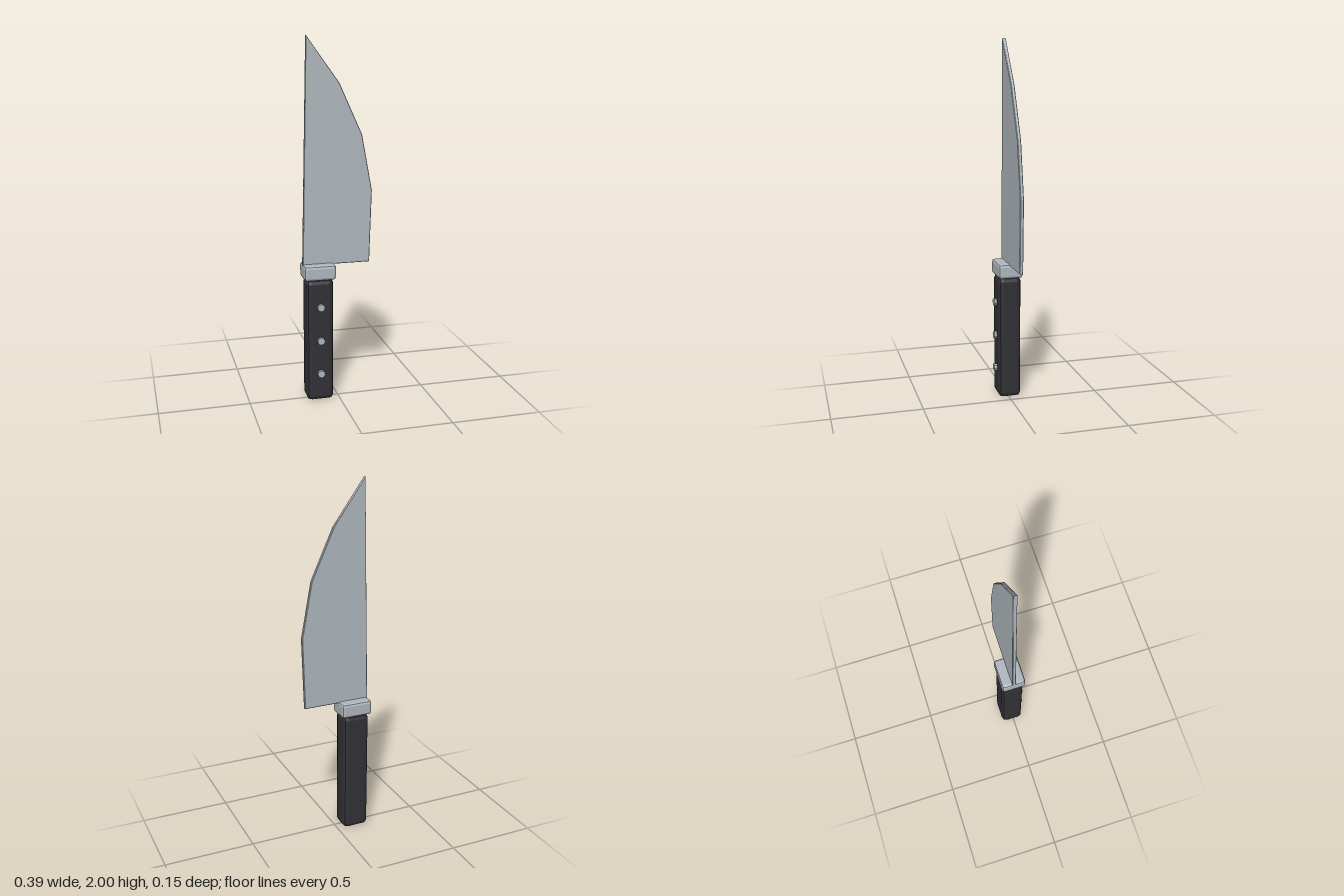
import * as THREE from 'three';

const material = (name, color) => {
  const m = new THREE.MeshStandardMaterial({ color });
  m.name = name;
  return m;
};

// Upright box with softly faceted edges, standing on y = 0
function bevelledBox(w, h, d, r) {
  const x = w / 2 - r, z = d / 2 - r;
  const s = new THREE.Shape();
  [[x, z, 0], [-x, z, 1], [-x, -z, 2], [x, -z, 3]].forEach(([cx, cz, q]) => {
    for (let i = 0; i <= 2; i++) {
      const a = (q + i / 2) * Math.PI / 2;
      const px = cx + r * Math.cos(a), pz = cz + r * Math.sin(a);
      if (q === 0 && i === 0) s.moveTo(px, pz); else s.lineTo(px, pz);
    }
  });
  s.closePath();
  const b = r * 0.98;
  const g = new THREE.ExtrudeGeometry(s, {
    depth: h - 2 * b, bevelEnabled: true, bevelThickness: b, bevelSize: b, bevelOffset: -b, bevelSegments: 2,
  });
  return g.translate(0, 0, b).rotateX(-Math.PI / 2);
}

export function createModel() {
  const group = new THREE.Group();
  const steel = material('steel', 0xb0b9bf);
  const black = material('black handle', 0x323137);
  const cx = -0.108, cz = -0.006;

  const add = (name, geometry, mat, x, y, z) => {
    const mesh = new THREE.Mesh(geometry, mat);
    mesh.name = name;
    mesh.position.set(x, y, z);
    group.add(mesh);
  };

  // Blade: straight spine, faceted curved edge, narrow bevel all round
  const outline = [[-0.195, 0.775], [0.18, 0.775], [0.192, 1.175], [0.135, 1.48], [0.01, 1.755], [-0.168, 2]];
  const bevel = 0.003;
  const blade = new THREE.ExtrudeGeometry(new THREE.Shape(outline.map(p => new THREE.Vector2(...p))), {
    depth: 0.02 - 2 * bevel, bevelEnabled: true, bevelThickness: bevel, bevelSize: bevel,
    bevelOffset: -bevel, bevelSegments: 1,
  });
  add('blade', blade, steel, 0, 0, -0.016 + bevel);

  // Bolster and handle
  add('bolster', bevelledBox(0.176, 0.082, 0.136, 0.015), steel, cx, 0.7, cz);
  add('handle', bevelledBox(0.15, 0.7, 0.126, 0.026), black, cx, 0.004, cz);

  // Rivets on the front of the handle
  for (const y of [0.165, 0.357, 0.55]) {
    const rivet = new THREE.CylinderGeometry(0.021, 0.021, 0.03, 8).toNonIndexed();
    rivet.computeVertexNormals();
    rivet.rotateX(Math.PI / 2);
    add('rivet', rivet, steel, cx, y, 0.058);
  }
  return group;
}
